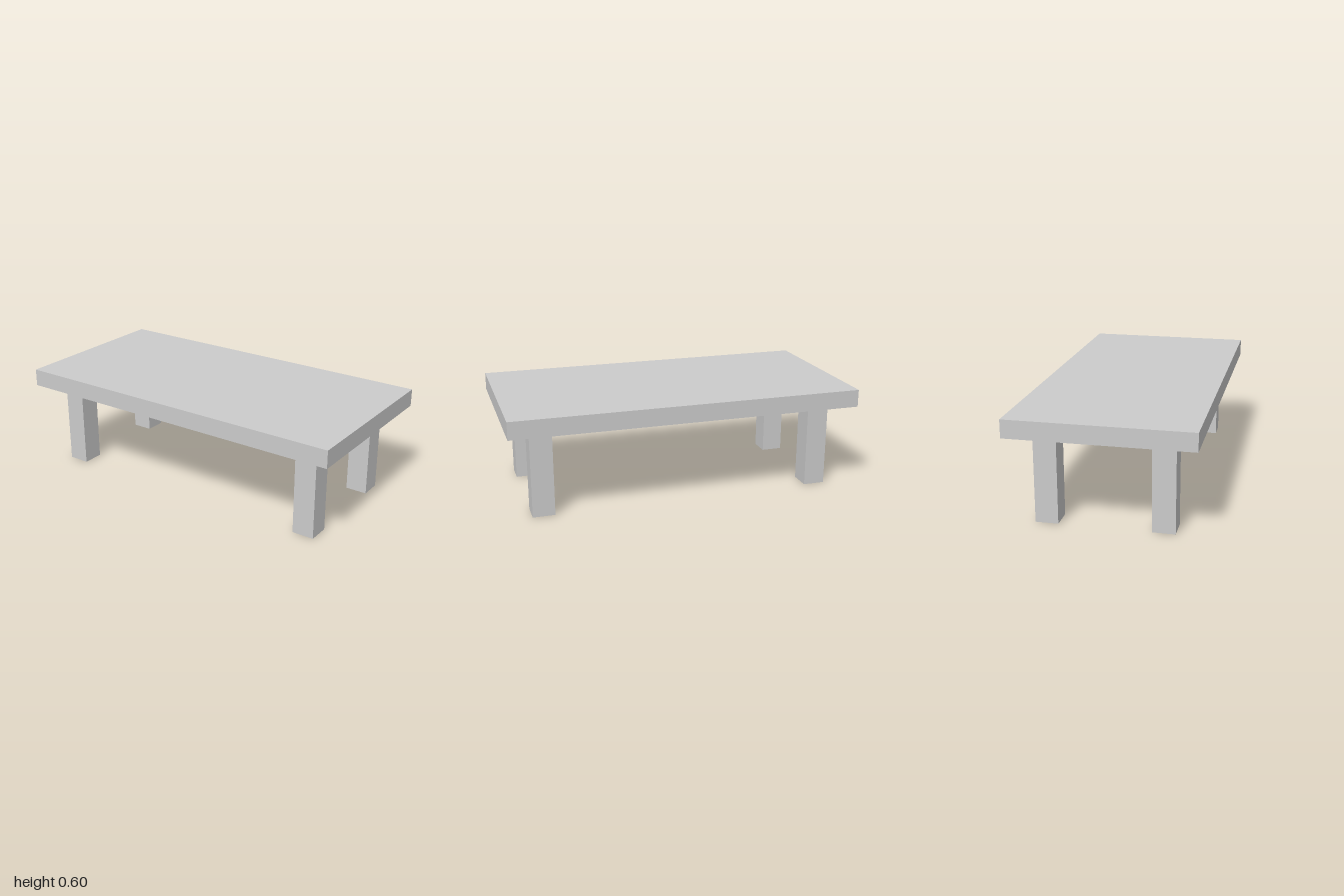
import * as THREE from 'three';

export function createModel() {
  const model = new THREE.Group();
  model.name = 'table';
  const material = new THREE.MeshStandardMaterial({ color: 0xcccccc });

  const legHeight = 0.5, legSize = 0.125, topThickness = 0.1;

  // Table top
  const top = new THREE.Mesh(new THREE.BoxGeometry(1, topThickness, 2), material);
  top.name = 'tableTop';
  top.position.y = legHeight + topThickness / 2;
  model.add(top);

  // Four square legs, inset from the edges
  const legGeometry = new THREE.BoxGeometry(legSize, legHeight, legSize);
  for (const [zName, z] of [['front', 0.8125], ['back', -0.8125]]) {
    for (const [xName, x] of [['Left', 0.3125], ['Right', -0.3125]]) {
      const leg = new THREE.Mesh(legGeometry, material);
      leg.name = `${zName}${xName}Leg`;
      leg.position.set(x, legHeight / 2, z);
      model.add(leg);
    }
  }

  return model;
}
